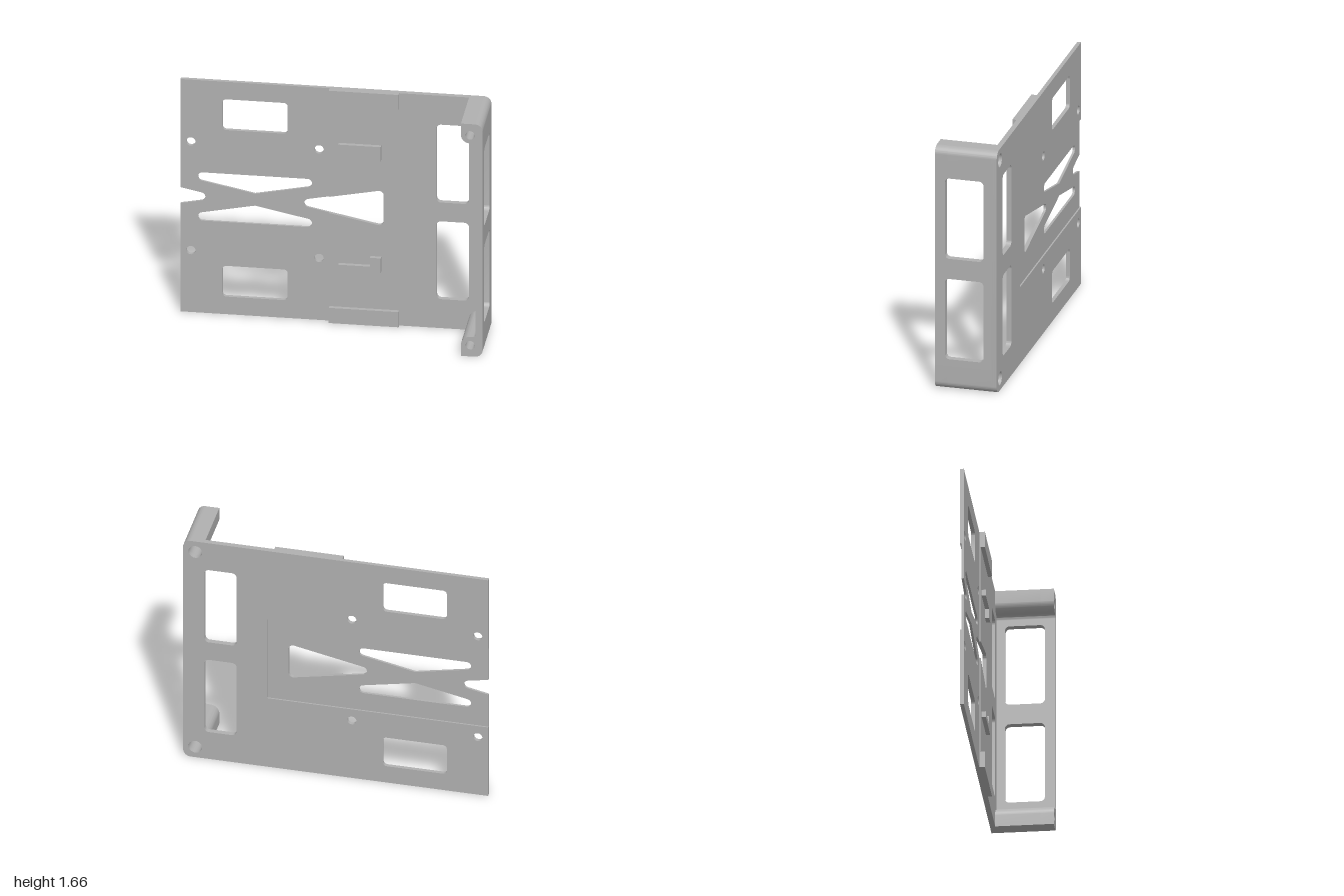
import * as THREE from 'three';
import { toCreasedNormals } from 'three/addons/utils/BufferGeometryUtils.js';

const H = 1.656, MID = H / 2;
const BACK = -0.205, FRONT = 0.205;

// Polygon from [x, y, cornerRadius] points, with true arcs at the corners
function outline(points, PathType = THREE.Path) {
  const path = new PathType(), n = points.length;
  points.forEach(([x, y, r = 0], i) => {
    const p = new THREE.Vector2(x, y);
    const a = new THREE.Vector2(...points[(i + n - 1) % n].slice(0, 2)).sub(p).normalize();
    const b = new THREE.Vector2(...points[(i + 1) % n].slice(0, 2)).sub(p).normalize();
    const half = Math.acos(a.dot(b)) / 2, d = r / Math.tan(half);
    const s = p.clone().addScaledVector(a, d);
    if (i === 0) path.moveTo(s.x, s.y); else path.lineTo(s.x, s.y);
    if (!r) return;
    const c = p.clone().addScaledVector(a.clone().add(b).normalize(), r / Math.sin(half));
    const e = p.clone().addScaledVector(b, d);
    path.absarc(c.x, c.y, r, Math.atan2(s.y - c.y, s.x - c.x), Math.atan2(e.y - c.y, e.x - c.x),
      a.x * b.y - a.y * b.x > 0);
  });
  path.closePath();
  return path;
}
const rect = (x0, y0, x1, y1, r) => outline([[x0, y0, r], [x1, y0, r], [x1, y1, r], [x0, y1, r]]);
const circle = (x, y, r) => new THREE.Path().absarc(x, y, r, 0, Math.PI * 2);
const flip = pts => pts.map(([x, y, r]) => [x, H - y, r]).reverse();

export function createModel() {
  const group = new THREE.Group();
  const grey = new THREE.MeshStandardMaterial({ color: 0xb0b0b0 });
  grey.name = 'grey';

  function solid(name, points, holes, z0, z1) {
    const shape = outline(points, THREE.Shape);
    shape.holes = holes;
    const geo = new THREE.ExtrudeGeometry(shape, { depth: z1 - z0, bevelEnabled: false, curveSegments: 10 });
    geo.translate(0, 0, z0);
    const mesh = new THREE.Mesh(toCreasedNormals(geo, 0.6), grey);
    mesh.name = name;
    group.add(mesh);
    return mesh;
  }

  // Openings shared by the plate layers
  const slots = () => [
    rect(0.65, 0.206, 0.86, 0.761, 0.03), rect(0.65, 0.895, 0.86, 1.45, 0.03),
    circle(0.92, 0.08, 0.045), circle(0.92, H - 0.08, 0.045)];
  const windows = () => [
    rect(-0.73, 0.125, -0.31, 0.344, 0.025), rect(-0.73, H - 0.344, -0.31, H - 0.125, 0.025),
    ...[-0.933, -0.107].flatMap(x => [circle(x, 0.441, 0.03), circle(x, H - 0.441, 0.03)])];
  const bowTie = [[-1.152, 1.0, 0.03], [-0.52, 0.87], [0.112, 1.0, 0.03]];
  const cutouts = () => [outline(bowTie), outline(flip(bowTie)),
    outline([[-0.323, MID, 0.03], [0.31, MID - 0.129, 0.03], [0.31, MID + 0.129, 0.03]])];

  // Plate: back layer with a shallow channel, core, and a slightly raised front layer
  const c0 = MID - 0.302, c1 = MID + 0.302;
  solid('plateBack', [[-1, 0], [1, 0, 0.05], [1, H, 0.05], [-1, H],
    [-1, c1], [0.45, c1], [0.45, c0], [-1, c0]], [...slots(), ...windows()], BACK, -0.195);
  solid('plateCore', [[-1, 0], [1, 0, 0.05], [1, H, 0.05], [-1, H],
    [-1, MID + 0.057], [-0.72, MID, 0.03], [-1, MID - 0.057]],
    [...slots(), ...windows(), ...cutouts()], -0.195, -0.18);
  solid('plateFront', [[-0.04, 0], [1, 0, 0.05], [1, H, 0.05], [-0.04, H],
    [-0.04, MID + 0.058], [0.31, MID + 0.129, 0.03], [0.31, MID - 0.129, 0.03], [-0.04, MID - 0.058]],
    slots(), -0.18, -0.171);

  // Edge rails, hooks and flange lugs, mirrored top and bottom
  const rail = [[-0.04, 0], [0.41, 0], [0.41, 0.108], [-0.04, 0.108]];
  const hook = [[0.02, 0.38], [0.295, 0.38], [0.295, 0.483], [0.225, 0.483], [0.225, 0.42], [0.02, 0.42]];
  const lug = [[0.86, 0], [1, 0, 0.05], [1, 0.165], [0.955, 0.165], [0.955, 0.138, 0.018], [0.86, 0.138, 0.058]];
  for (const top of [false, true]) {
    const side = top ? 'Top' : 'Bottom', m = pts => (top ? flip(pts) : pts);
    const y = top ? H - 0.08 : 0.08;
    solid('rail' + side, m(rail), [], -0.18, -0.144);
    solid('hook' + side, m(hook), [], -0.18, -0.144);
    solid('lugRear' + side, m(lug), [circle(0.92, y, 0.045)], -0.171, 0.12);
    solid('lugFront' + side, m(lug), [circle(0.92, y, 0.03)], 0.12, FRONT);
  }

  // Flange wall drawn in (-z, y), then turned to face +x
  const wall = solid('flangeWall',
    [[-FRONT, 0.165], [0.171, 0.165], [0.171, H - 0.165], [-FRONT, H - 0.165]],
    [rect(-0.138, 0.208, 0.118, 0.759, 0.03), rect(-0.138, 0.897, 0.118, 1.448, 0.03)], 0, 0.045);
  wall.rotation.y = Math.PI / 2;
  wall.position.x = 0.955;

  return group;
}
